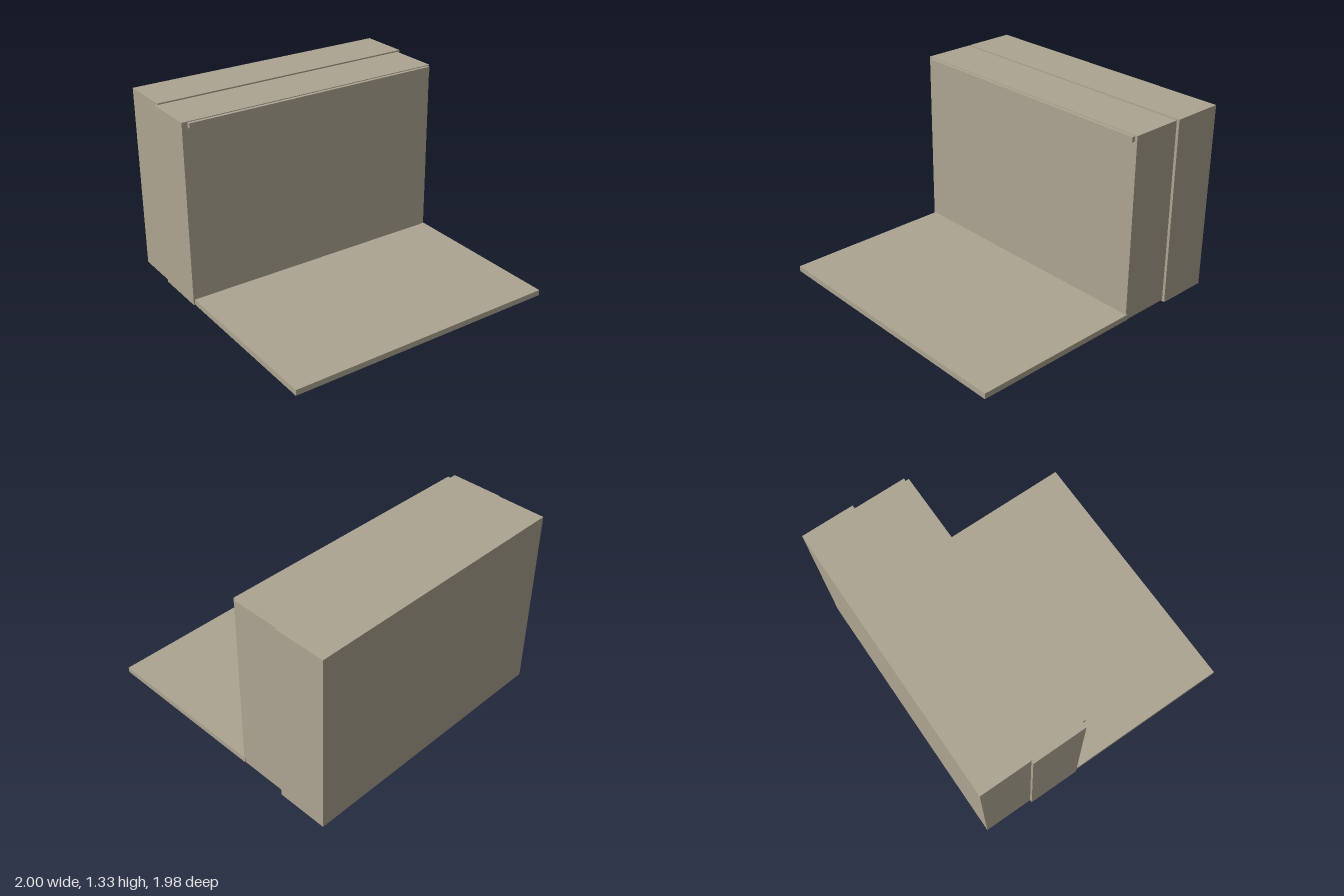
import * as THREE from 'three';

export function createModel() {
  const model = new THREE.Group();
  model.name = 'cabinetWithFoldedPanel';
  const taupe = new THREE.MeshStandardMaterial({ color: 0xada491 });
  taupe.name = 'taupe';

  // Adds a box given by its extents on each axis
  function addBox(name, [x0, x1], [y0, y1], [z0, z1]) {
    const mesh = new THREE.Mesh(new THREE.BoxGeometry(x1 - x0, y1 - y0, z1 - z0), taupe);
    mesh.name = name;
    mesh.position.set((x0 + x1) / 2, (y0 + y1) / 2, (z0 + z1) / 2);
    model.add(mesh);
  }

  // Two upright bodies, slightly offset from each other
  addBox('rearBody', [-0.98, 1], [0, 1.33], [-0.99, -0.62]);
  addBox('frontBody', [-1, 0.98], [0.01, 1.32], [-0.63, -0.25]);
  // Thin rail along the top front edge
  addBox('topRail', [-0.96, 0.962], [1.28, 1.315], [-0.255, -0.225]);
  // Flat panel lying in front
  addBox('floorPanel', [-0.99, 0.985], [0.01, 0.05], [-0.262, 0.987]);

  return model;
}
